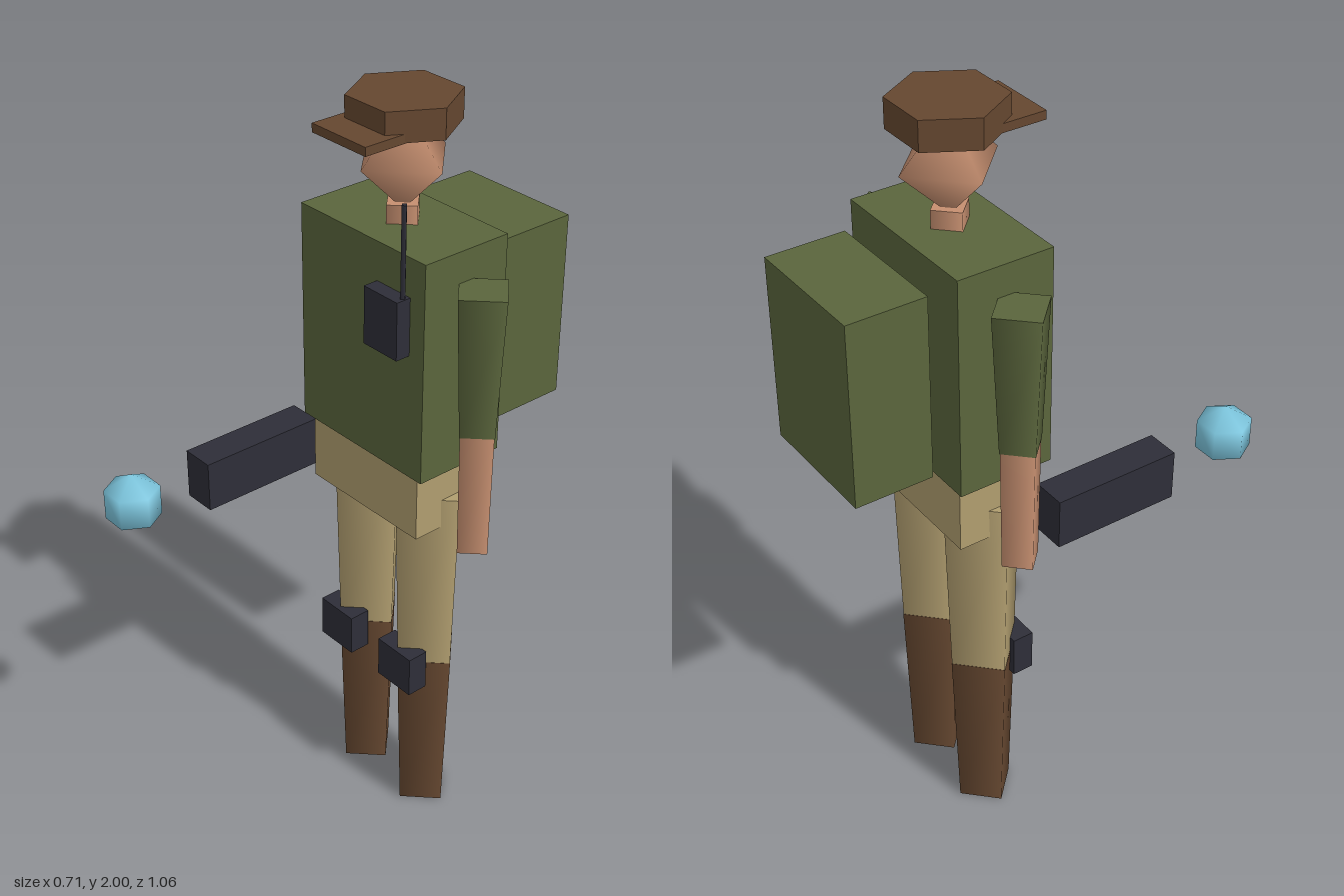
import * as THREE from 'three';

function makeMaterial(name, color) {
  const m = new THREE.MeshStandardMaterial({ color });
  m.name = name;
  return m;
}

export function createModel() {
  const model = new THREE.Group();
  model.name = 'soldier';
  const green = makeMaterial('olive green', 0x5a653c);
  const tan = makeMaterial('trouser tan', 0xb09d6f);
  const brown = makeMaterial('leather brown', 0x654730);
  const skin = makeMaterial('skin', 0xc68f70);
  const dark = makeMaterial('dark gear', 0x2e2e38);
  const blue = makeMaterial('glow blue', 0x7ec8e0);
  const Z = -0.153; // body axis

  function add(name, geometry, material, x, y, z) {
    const mesh = new THREE.Mesh(geometry, material);
    mesh.name = name;
    mesh.position.set(x, y, z);
    model.add(mesh);
    return mesh;
  }
  // box given by its limits on each axis
  const box = (name, mat, [x0, x1], [y0, y1], [z0, z1]) =>
    add(name, new THREE.BoxGeometry(x1 - x0, y1 - y0, z1 - z0), mat,
      (x0 + x1) / 2, (y0 + y1) / 2, (z0 + z1) / 2);
  // upright tapered prism from y0 to y1
  const prism = (name, mat, x, z, y0, y1, r0, r1, sides = 4) =>
    add(name, new THREE.CylinderGeometry(r1, r0, y1 - y0, sides), mat, x, (y0 + y1) / 2, z);

  // torso and backpack
  box('torso', green, [-0.22, 0.22], [1.11, 1.69], [-0.28, -0.026]);
  box('pelvis', tan, [-0.195, 0.195], [0.93, 1.11], [-0.268, -0.038]);
  box('backpack', green, [-0.174, 0.172], [1.16, 1.645], [-0.533, -0.326]);

  // head, neck and cap
  prism('neck', skin, 0, Z, 1.66, 1.737, 0.052, 0.052);
  add('head', new THREE.SphereGeometry(0.13, 4, 2), skin, 0, 1.842, Z);
  const cap = prism('cap', brown, 0, Z, 1.925, 2, 0.138, 0.138, 6);
  cap.geometry.rotateY(Math.PI / 6);
  cap.geometry.computeVertexNormals();
  cap.geometry = cap.geometry.toNonIndexed();
  cap.geometry.computeVertexNormals();
  box('capBrim', brown, [-0.092, 0.092], [1.924, 1.946], [-0.1, 0.042]);

  // arms and legs
  for (const [side, s] of [['left', 1], ['right', -1]]) {
    prism(side + 'Sleeve', green, s * 0.277, Z, 1.24, 1.61, 0.06, 0.08);
    prism(side + 'Forearm', skin, s * 0.277, Z, 0.905, 1.24, 0.053, 0.058);
    prism(side + 'TrouserLeg', tan, s * 0.116, Z, 0.49, 1.01, 0.097, 0.112);
    prism(side + 'Boot', brown, s * 0.116, Z, 0, 0.49, 0.08, 0.098);
    const knee = [s * 0.055, s * 0.178].sort((a, b) => a - b);
    box(side + 'KneePad', dark, knee, [0.42, 0.535], [-0.1, -0.042]);
  }

  // chest radio with antenna
  box('radio', dark, [0.056, 0.171], [1.44, 1.59], [-0.06, 0.014]);
  prism('antenna', dark, 0.161, -0.012, 1.56, 1.82, 0.008, 0.008);

  // hand-held emitter and glowing orb
  box('emitter', dark, [-0.323, -0.233], [0.932, 1.066], [-0.072, 0.273]);
  add('orb', new THREE.SphereGeometry(0.08, 6, 3), blue, -0.278, 1.02, 0.47);

  return model;
}
